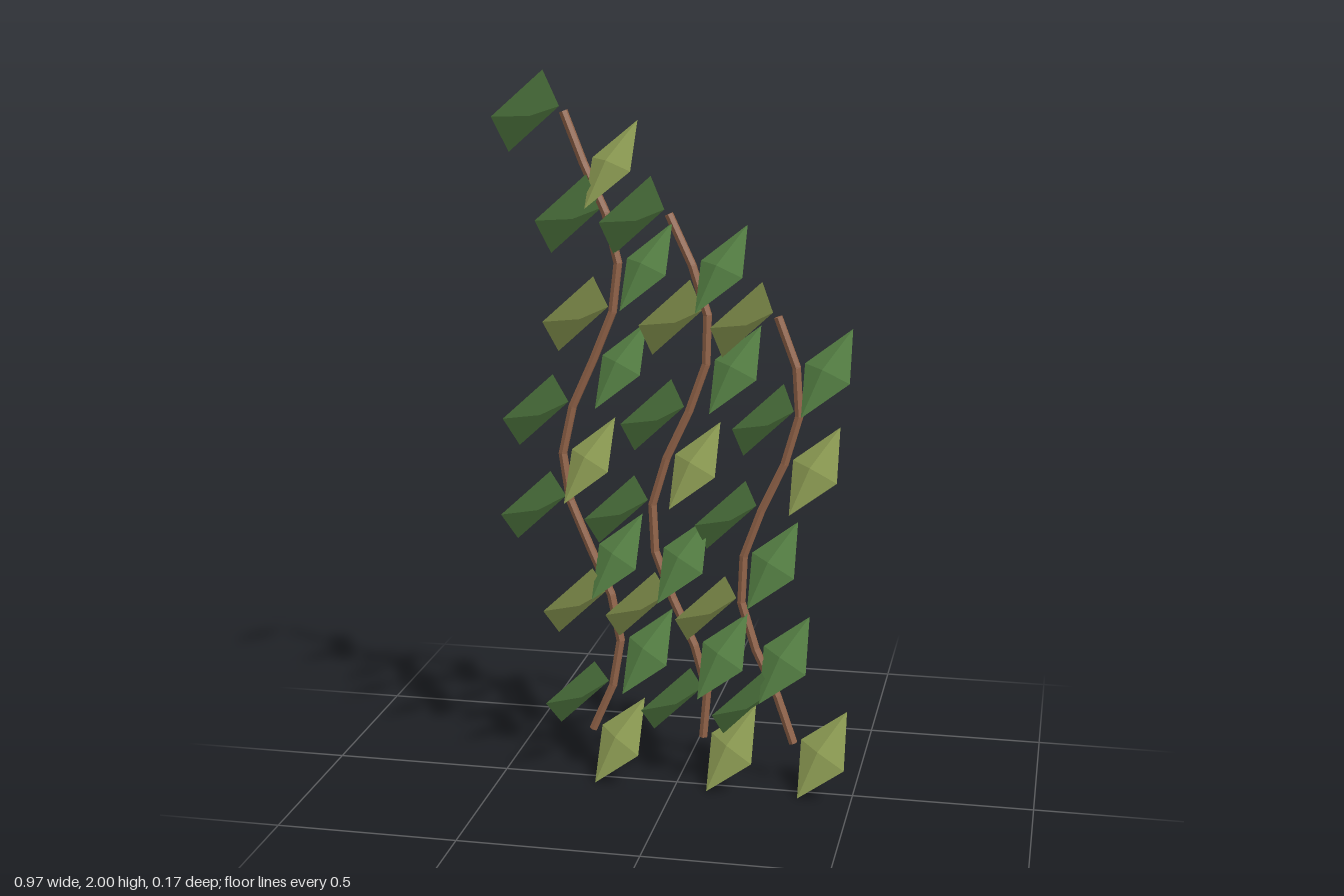
import * as THREE from 'three';

const UP = new THREE.Vector3(0, 1, 0);
const material = (color) => new THREE.MeshStandardMaterial({ color, flatShading: true });

// Flattened octahedron spanned by its two half-diagonals and a thin half-thickness
function leafGeometry(a, b, thickness) {
  const n = new THREE.Vector3().crossVectors(a, b).setLength(thickness);
  const geometry = new THREE.OctahedronGeometry(1, 0);
  geometry.applyMatrix4(new THREE.Matrix4().makeBasis(a, b, n));
  geometry.computeVertexNormals();
  return geometry;
}

// Straight piece of stem between two points
function stemSegment(p, q, mat) {
  const dir = new THREE.Vector3().subVectors(q, p);
  const mesh = new THREE.Mesh(new THREE.CylinderGeometry(0.0125, 0.0125, dir.length() + 0.004, 6), mat);
  mesh.position.copy(p).add(q).multiplyScalar(0.5);
  mesh.quaternion.setFromUnitVectors(UP, dir.normalize());
  mesh.name = 'stemSegment';
  return mesh;
}

export function createModel() {
  const model = new THREE.Group();
  model.name = 'climbingVines';

  const bark = material(0x94654a);
  const green = material(0x5c8a4a);
  const olive = material(0x98a85a);

  // Leaves on the two sides tilt in opposite directions
  const V = (x, y, z) => new THREE.Vector3(x, y, z);
  const rightSideLeaf = leafGeometry(V(0.062, 0.114, -0.05), V(0.071, -0.008, 0.085), 0.02);
  const leftSideLeaf = leafGeometry(V(0.062, 0.114, 0.05), V(0.071, 0.008, -0.085), 0.02);

  // Three waving vines, each shorter than the last
  [14, 12, 10].forEach((count, v) => {
    const vine = new THREE.Group();
    vine.name = 'vine' + (v + 1);
    const stemX = (i) => -0.255 + 0.252 * v + 0.081 * Math.sin(0.8 * i + v);
    const stemPoint = (i) => V(stemX(i), 0.125 + 0.135 * i, -0.057);

    for (let i = 0; i < count; i++) {
      if (i > 0) vine.add(stemSegment(stemPoint(i - 1), stemPoint(i), bark));

      // Leaves alternate sides; every third one is olive
      const side = i % 2 === 0 ? 1 : -1;
      const leaf = new THREE.Mesh(side > 0 ? rightSideLeaf : leftSideLeaf, i % 3 === 0 ? olive : green);
      leaf.position.set(stemX(i) + side * 0.09, 0.116 + 0.136 * i, 0);
      leaf.name = 'leaf';
      vine.add(leaf);
    }
    model.add(vine);
  });

  return model;
}
